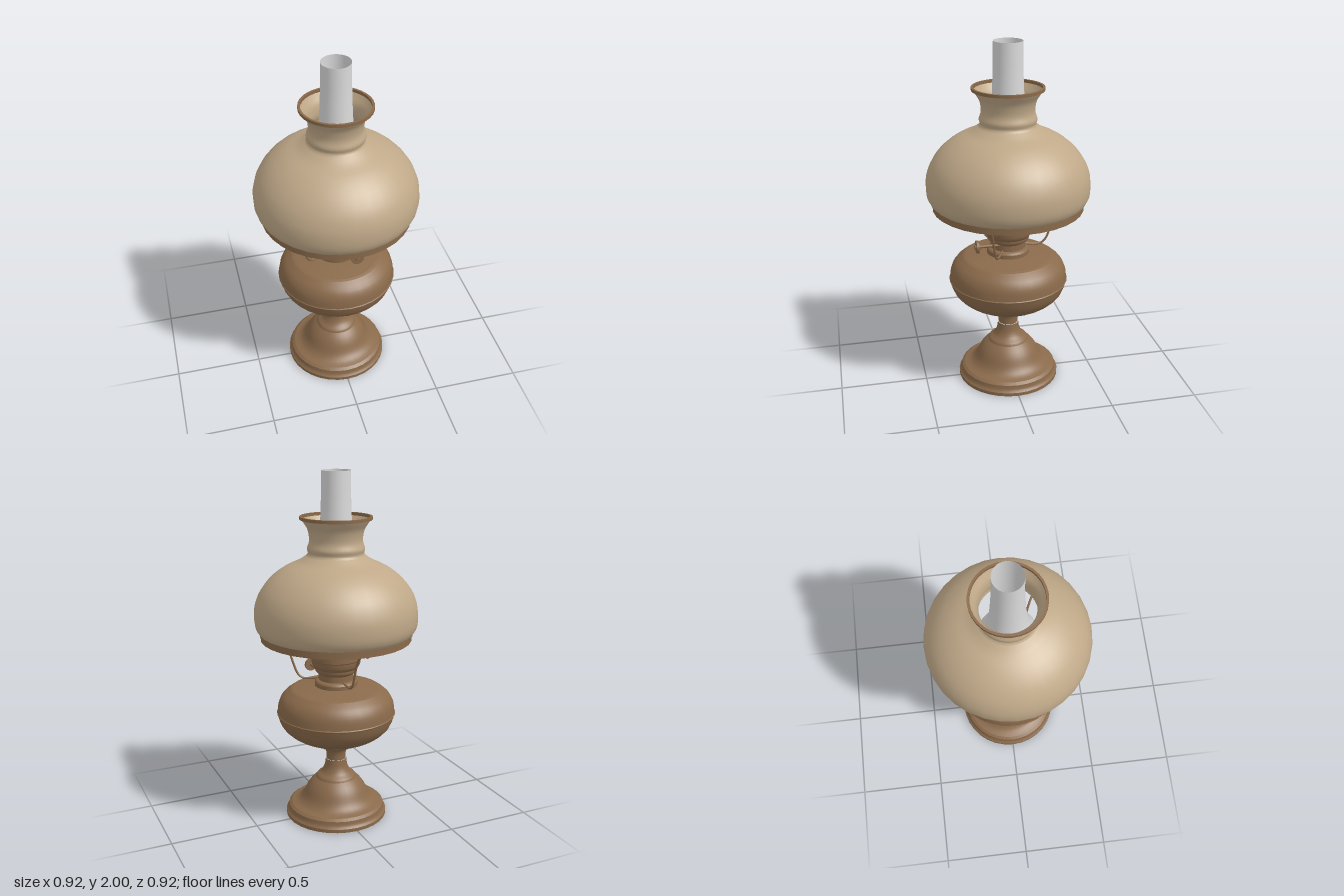
import * as THREE from 'three';
import { mergeGeometries } from 'three/addons/utils/BufferGeometryUtils.js';

const SEGMENTS = 32;

const material = (name, color, side = THREE.FrontSide) => {
  const m = new THREE.MeshStandardMaterial({ color, side });
  m.name = name;
  return m;
};

// Turns runs of [radius, height] points; each run is smooth, joints between runs are sharp.
function turned(name, mat, runs) {
  const parts = runs.map((run) => {
    let pts = run.map(([r, y]) => new THREE.Vector2(r, y));
    if (pts.length > 2) {
      pts = new THREE.SplineCurve(pts).getPoints((pts.length - 1) * 3);
    }
    return new THREE.LatheGeometry(pts, SEGMENTS);
  });
  const mesh = new THREE.Mesh(mergeGeometries(parts), mat);
  mesh.name = name;
  return mesh;
}

// Closed hoop with a rectangular section
function hoop(name, mat, inner, outer, y0, y1) {
  const c = [[inner, y0], [outer, y0], [outer, y1], [inner, y1], [inner, y0]];
  return turned(name, mat, c.slice(1).map((p, i) => [c[i], p]));
}

export function createModel() {
  const lamp = new THREE.Group();
  lamp.name = 'oilLamp';
  const brass = material('agedBrass', 0x8a6a4b);
  const cream = material('creamShade', 0xbfa888, THREE.DoubleSide);
  const glass = material('paleGlass', 0xdadada, THREE.DoubleSide);

  // Stepped foot and stem
  lamp.add(turned('foot', brass, [
    [[0, 0], [0.295, 0]],
    [[0.295, 0], [0.295, 0.02]],
    [[0.295, 0.02], [0.283, 0.035], [0.278, 0.06]],
    [[0.278, 0.06], [0.262, 0.072]],
    [[0.262, 0.072], [0.225, 0.085], [0.195, 0.115], [0.17, 0.165], [0.145, 0.2], [0.118, 0.225]],
    [[0.118, 0.225], [0.11, 0.24], [0.085, 0.26], [0.067, 0.295], [0.06, 0.34]],
  ]));
  lamp.add(turned('stem', brass, [
    [[0.056, 0.34], [0.057, 0.375], [0.067, 0.405], [0.09, 0.415]],
    [[0.09, 0.415], [0.099, 0.427], [0.095, 0.44], [0.075, 0.455]],
  ]));

  // Bulbous oil reservoir
  lamp.add(turned('reservoir', brass, [
    [[0, 0.445], [0.09, 0.448]],
    [[0.09, 0.448], [0.18, 0.465], [0.26, 0.505], [0.315, 0.56], [0.338, 0.625]],
    [[0.338, 0.625], [0.342, 0.63], [0.338, 0.635]],
    [[0.338, 0.635], [0.33, 0.69], [0.305, 0.735], [0.26, 0.77]],
    [[0.26, 0.77], [0.245, 0.775]],
    [[0.245, 0.775], [0.18, 0.785], [0.12, 0.793]],
  ]));

  // Burner: collar, neck and gallery
  lamp.add(turned('burner', brass, [
    [[0.122, 0.785], [0.122, 0.815]],
    [[0.122, 0.815], [0.115, 0.825], [0.1, 0.83]],
    [[0.1, 0.83], [0.1, 0.865]],
    [[0.1, 0.865], [0.118, 0.88], [0.122, 0.9]],
    [[0.122, 0.9], [0.136, 0.918], [0.142, 0.95]],
    [[0.142, 0.95], [0.147, 0.955]],
    [[0.147, 0.955], [0.147, 1.03]],
    [[0.147, 1.03], [0.13, 1.03]],
    [[0.13, 1.03], [0.1, 1.05], [0.05, 1.065], [0, 1.07]],
  ]));
  const wick = new THREE.Mesh(new THREE.BoxGeometry(0.15, 0.05, 0.032), brass);
  wick.name = 'wickHolder';
  wick.position.y = 1.075;
  lamp.add(wick);

  // Wick knob on its spindle
  const knob = new THREE.Group();
  knob.name = 'wickKnob';
  const spindle = new THREE.Mesh(new THREE.CylinderGeometry(0.009, 0.009, 0.15, 12), brass);
  spindle.name = 'knobSpindle';
  spindle.rotation.x = Math.PI / 2;
  spindle.position.z = 0.13;
  const wheel = new THREE.Mesh(new THREE.CylinderGeometry(0.037, 0.037, 0.014, 20), brass);
  wheel.name = 'knobWheel';
  wheel.rotation.x = Math.PI / 2;
  wheel.position.z = 0.192;
  const hub = new THREE.Mesh(new THREE.CylinderGeometry(0.012, 0.016, 0.02, 12), brass);
  hub.name = 'knobHub';
  hub.rotation.x = Math.PI / 2;
  hub.position.z = 0.198;
  knob.add(spindle, wheel, hub);
  knob.position.set(0.075, 0.867, 0);
  lamp.add(knob);

  // Three bent wires carry the shade ring
  const bend = new THREE.CatmullRomCurve3([
    [0.1, 0.832], [0.15, 0.825], [0.19, 0.826], [0.22, 0.85], [0.245, 0.91],
    [0.27, 0.98], [0.31, 1.035], [0.36, 1.058], [0.42, 1.066],
  ].map(([r, y]) => new THREE.Vector3(0, y, r)));
  const wire = new THREE.TubeGeometry(bend, 32, 0.0065, 8);
  for (let i = 0; i < 3; i++) {
    const arm = new THREE.Mesh(wire, brass);
    arm.name = 'shadeArm' + (i + 1);
    arm.rotation.y = Math.PI / 3 + (i * Math.PI * 2) / 3;
    lamp.add(arm);
  }
  lamp.add(hoop('shadeRing', brass, 0.402, 0.425, 1.07, 1.1));
  lamp.add(hoop('shadeRingLip', brass, 0.405, 0.43, 1.098, 1.109));

  // Domed shade with flared neck
  lamp.add(turned('shade', cream, [
    [[0.418, 1.1], [0.44, 1.12], [0.456, 1.16], [0.459, 1.22], [0.449, 1.28], [0.418, 1.35],
      [0.36, 1.42], [0.285, 1.475], [0.21, 1.51], [0.165, 1.54]],
    [[0.165, 1.54], [0.155, 1.555], [0.16, 1.58], [0.15, 1.61], [0.148, 1.64],
      [0.157, 1.685], [0.178, 1.72], [0.193, 1.745]],
  ]));
  lamp.add(hoop('shadeRim', brass, 0.187, 0.2, 1.738, 1.755));

  // Glass chimney, bulging low and open at the top
  lamp.add(turned('chimney', glass, [
    [[0.133, 1.03], [0.137, 1.07], [0.165, 1.12], [0.18, 1.18], [0.172, 1.25], [0.14, 1.34],
      [0.112, 1.44], [0.097, 1.56], [0.088, 1.7], [0.082, 1.85], [0.08, 2]],
  ]));

  return lamp;
}
